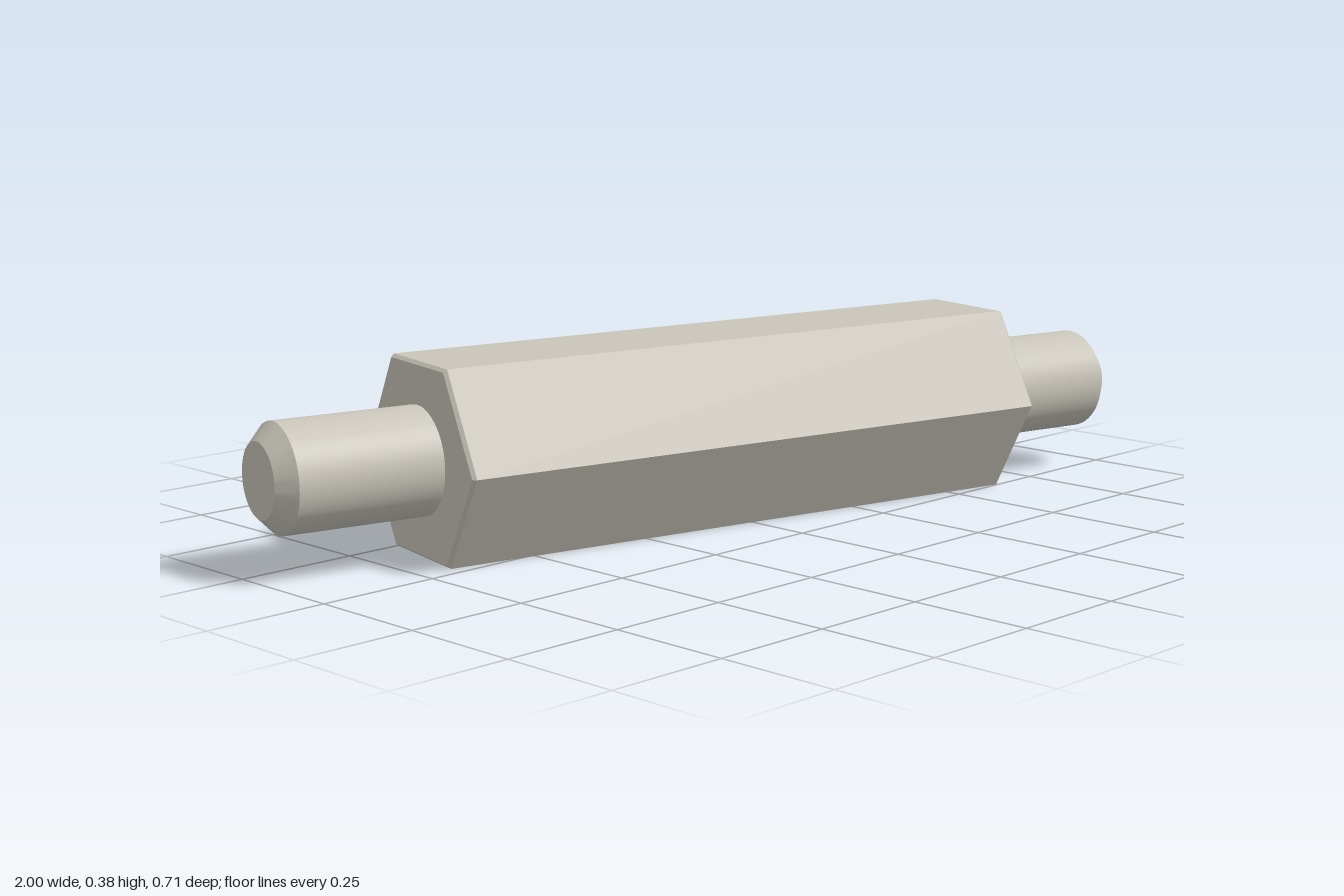
import * as THREE from 'three';
import { toCreasedNormals } from 'three/addons/utils/BufferGeometryUtils.js';

// Solid turned about the x axis from [radius, position] pairs, edges kept sharp
function turned(profile, sides) {
  const points = profile.map(([r, s]) => new THREE.Vector2(r, s));
  const geometry = new THREE.LatheGeometry(points, sides);
  geometry.rotateZ(-Math.PI / 2);
  return toCreasedNormals(geometry, Math.PI / 6);
}

export function createModel() {
  const steel = new THREE.MeshStandardMaterial({ color: 0xc9c5ba });
  steel.name = 'warm grey steel';

  const model = new THREE.Group();
  model.name = 'hexStandoff';

  const half = 0.677;                 // half length of the hexagonal body
  const radius = 0.383 / Math.sqrt(3); // corner radius from the width across flats
  const bevel = 0.007;

  // Hexagonal body with fine bevels, flats at top and bottom
  const body = new THREE.Mesh(turned([
    [0, -half], [radius - bevel, -half], [radius, -half + bevel],
    [radius, half - bevel], [radius - bevel, half], [0, half],
  ], 6), steel);
  body.name = 'hexBody';
  model.add(body);

  // Round stud with a chamfered tip at each end
  const studGeometry = turned([
    [0.108, half - 0.01], [0.108, 0.973], [0.074, 1.007], [0, 1.007],
  ], 64);
  for (const [name, turn] of [['leftStud', 0], ['rightStud', Math.PI]]) {
    const stud = new THREE.Mesh(studGeometry, steel);
    stud.name = name;
    stud.rotation.y = turn;
    model.add(stud);
  }

  // Lies on its lower flat, turned slightly in plan
  model.position.y = 0.1915;
  model.rotation.y = -THREE.MathUtils.degToRad(12);
  return model;
}
